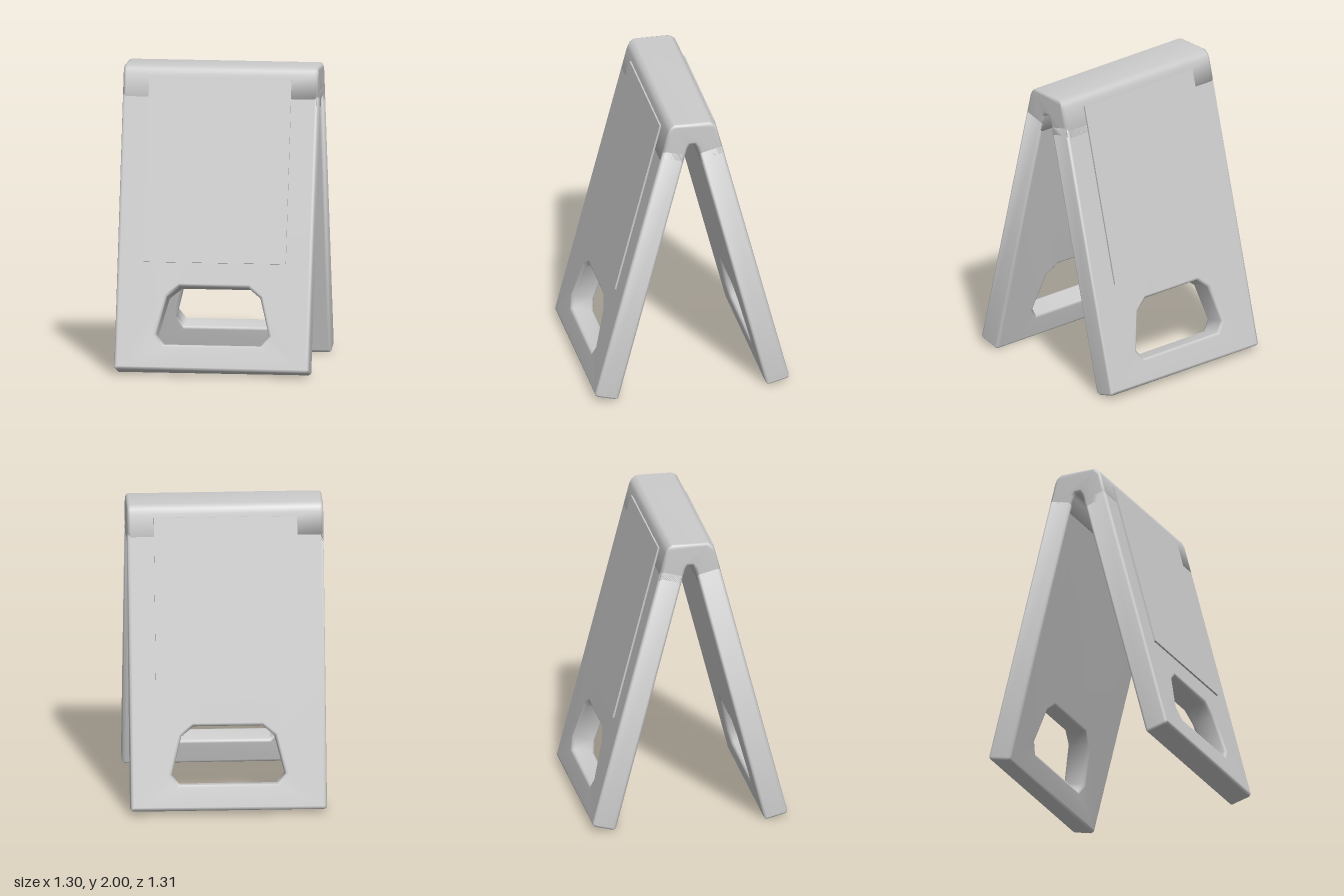
import * as THREE from 'three';
import { mergeVertices } from 'three/addons/utils/BufferGeometryUtils.js';

const SLOPE = 0.257;                 // lean of each leg, dz per dy
const LEAN = Math.atan(SLOPE);
const HALF_W = 0.65;                 // half width of the sign
const THICK = 0.162;                 // leg thickness
const BEVEL = 0.02;
const FOOT = { y: 0.035, z: 0.659 }; // outer bottom edge of a leg

const material = new THREE.MeshStandardMaterial({ color: 0xcccccc });

const toPoints = (list) => list.map(([x, y]) => new THREE.Vector2(x, y));

// Closes a right-hand half outline with its mirror image
const mirrored = (half) =>
  toPoints([...half, ...half.slice().reverse().map(([x, y]) => [-x, y])]);

// Bevelled extrusion with soft edges and area-weighted normals
function softExtrude(shape, depth) {
  const geo = new THREE.ExtrudeGeometry(shape, {
    depth: depth - 2 * BEVEL,
    bevelThickness: BEVEL,
    bevelSize: BEVEL,
    bevelOffset: -BEVEL,
    bevelSegments: 2,
  });
  geo.deleteAttribute('uv');
  geo.deleteAttribute('normal');
  const merged = mergeVertices(geo, 1e-4);
  merged.computeVertexNormals();
  return merged;
}

function makeMesh(name, geo) {
  const mesh = new THREE.Mesh(geo, material);
  mesh.name = name;
  return mesh;
}

// One leaning leg: panel with a handle opening, plus its raised poster plate
function makeLeg(name) {
  const leg = new THREE.Group();
  leg.name = name;

  const shape = new THREE.Shape(mirrored([
    [HALF_W - 0.015, 0], [HALF_W, 0.015], [HALF_W, 1.84],
  ]));
  shape.holes.push(new THREE.Path(mirrored([
    [0.325, 0.175], [0.375, 0.243], [0.31, 0.493], [0.228, 0.56],
  ])));
  const panel = softExtrude(shape, THICK);
  panel.translate(0, 0, BEVEL - THICK);
  leg.add(makeMesh('legPanel', panel));

  const bottom = 0.72, top = 1.945;
  const plate = new THREE.BoxGeometry(0.95, top - bottom, 0.024);
  plate.translate(0, (top + bottom) / 2, 0);
  leg.add(makeMesh('posterPlate', plate));

  leg.rotation.x = -LEAN;
  leg.position.set(0, FOOT.y, FOOT.z);
  const side = new THREE.Group();
  side.name = name + 'Side';
  side.add(leg);
  return side;
}

// Top ridge joining both legs, extruded across the width
function makeRidge() {
  const outerZ = (y) => FOOT.z - (y - FOOT.y) * SLOPE;
  const innerZ = (y) => outerZ(y) - THICK / Math.cos(LEAN);
  const cutY = FOOT.y + 1.77 * Math.cos(LEAN);
  const innerCutY = cutY - THICK * Math.sin(LEAN);
  const profile = mirrored([
    [0.015, 1.845],
    [innerZ(1.82), 1.82],
    [innerZ(innerCutY), innerCutY],
    [outerZ(cutY), cutY],
    [outerZ(1.945), 1.945],
    [0.153, 1.977],
    [0.12, 2.0],
  ]);
  const geo = softExtrude(new THREE.Shape(profile), 2 * HALF_W);
  geo.translate(0, 0, BEVEL - HALF_W);
  geo.rotateY(Math.PI / 2);
  return makeMesh('topRidge', geo);
}

export function createModel() {
  const model = new THREE.Group();
  model.name = 'aFrameSign';
  const front = makeLeg('frontLeg');
  const back = makeLeg('backLeg');
  back.rotation.y = Math.PI;
  model.add(front, back, makeRidge());
  return model;
}
